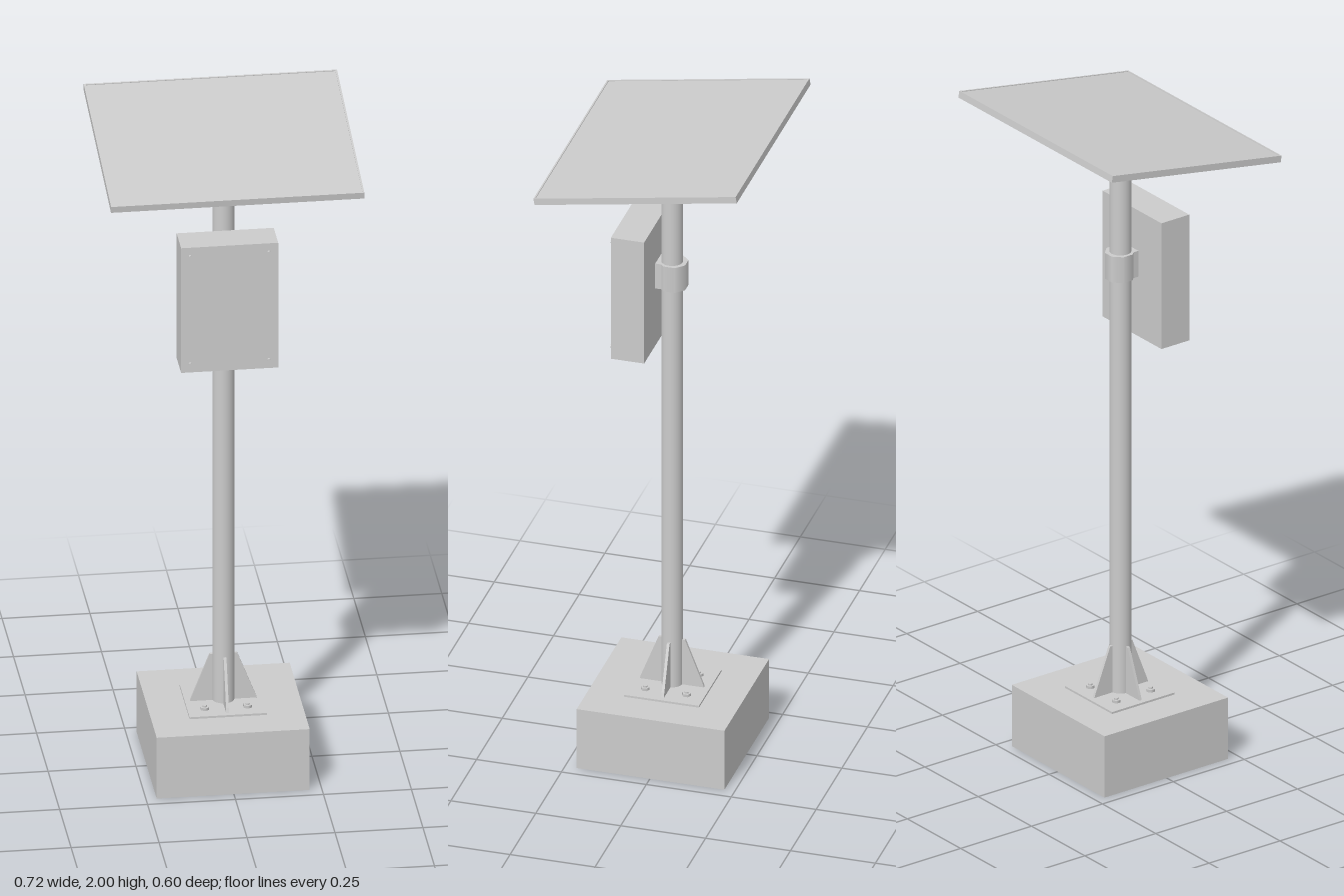
import * as THREE from 'three';

const mat = new THREE.MeshStandardMaterial({ color: 0xcccccc });

function add(parent, name, geo, x = 0, y = 0, z = 0) {
  const mesh = new THREE.Mesh(geo, mat);
  mesh.name = name;
  mesh.position.set(x, y, z);
  parent.add(mesh);
  return mesh;
}
const box = (w, h, d) => new THREE.BoxGeometry(w, h, d);
const cyl = (r, h, n = 32) => new THREE.CylinderGeometry(r, r, h, n);

export function createModel() {
  const model = new THREE.Group();
  model.name = 'solarPole';

  // Foundation, flange and pole
  add(model, 'foundation', box(0.435, 0.19, 0.435), -0.002, 0.095, -0.002);
  add(model, 'flange', box(0.22, 0.006, 0.22), -0.002, 0.193, -0.002);
  add(model, 'pole', cyl(0.031, 1.72), -0.002, 1.055, 0);

  // Four triangular gussets with anchor bolts between them
  const tri = new THREE.Shape();
  tri.moveTo(0.026, 0);
  tri.lineTo(0.095, 0);
  tri.lineTo(0.09, 0.015);
  tri.lineTo(0.039, 0.145);
  tri.lineTo(0.026, 0.145);
  const gussetGeo = new THREE.ExtrudeGeometry(tri, { depth: 0.008, bevelEnabled: false });
  gussetGeo.translate(0, 0, -0.004);
  for (let i = 0; i < 4; i++) {
    add(model, 'gusset', gussetGeo, -0.002, 0.195, 0).rotation.y = i * Math.PI / 2;
    const a = Math.PI / 4 + i * Math.PI / 2;
    const x = -0.002 + 0.086 * Math.cos(a), z = 0.086 * Math.sin(a);
    add(model, 'anchorNut', cyl(0.013, 0.008, 6), x, 0.2, z);
    add(model, 'anchorBolt', cyl(0.006, 0.014, 12), x, 0.202, z);
  }

  // Equipment box with corner screws
  const cabinet = new THREE.Group();
  cabinet.name = 'cabinet';
  cabinet.position.set(-0.002, 1.485, 0.09);
  model.add(cabinet);
  add(cabinet, 'cabinetBody', box(0.276, 0.39, 0.098));
  for (const sx of [-1, 1]) for (const sy of [-1, 1]) {
    add(cabinet, 'coverScrew', cyl(0.005, 0.01, 12), sx * 0.112, sy * 0.168, 0.052).rotation.x = Math.PI / 2;
  }

  // Clamp holding the box to the pole
  const band = cyl(0.043, 0.08, 8);
  band.rotateY(Math.PI / 8);
  add(model, 'clampBand', band, -0.002, 1.515, -0.003);
  add(model, 'clampBlock', box(0.06, 0.08, 0.03), -0.002, 1.515, 0.029);

  // Pole head
  add(model, 'poleHead', box(0.075, 0.06, 0.094), -0.002, 1.905, 0);

  // Tilted panel: slab, raised rim and mounting plate
  const panel = new THREE.Group();
  panel.name = 'panel';
  panel.position.set(0, 1.94, 0);
  panel.rotation.x = 0.168;
  model.add(panel);
  add(panel, 'panelSlab', box(0.716, 0.017, 0.6), 0, -0.0005, 0);
  for (const s of [-1, 1]) {
    add(panel, 'sideRim', box(0.005, 0.02, 0.604), s * 0.3575, 0, 0);
    add(panel, 'endRim', box(0.72, 0.02, 0.005), 0, 0, s * 0.2995);
  }
  add(panel, 'mountPlate', box(0.23, 0.006, 0.23), 0, -0.011, 0);
  for (const sx of [-1, 1]) for (const sz of [-1, 1]) {
    add(panel, 'plateScrew', cyl(0.005, 0.004, 12), sx * 0.1, -0.015, sz * 0.1);
  }
  return model;
}
